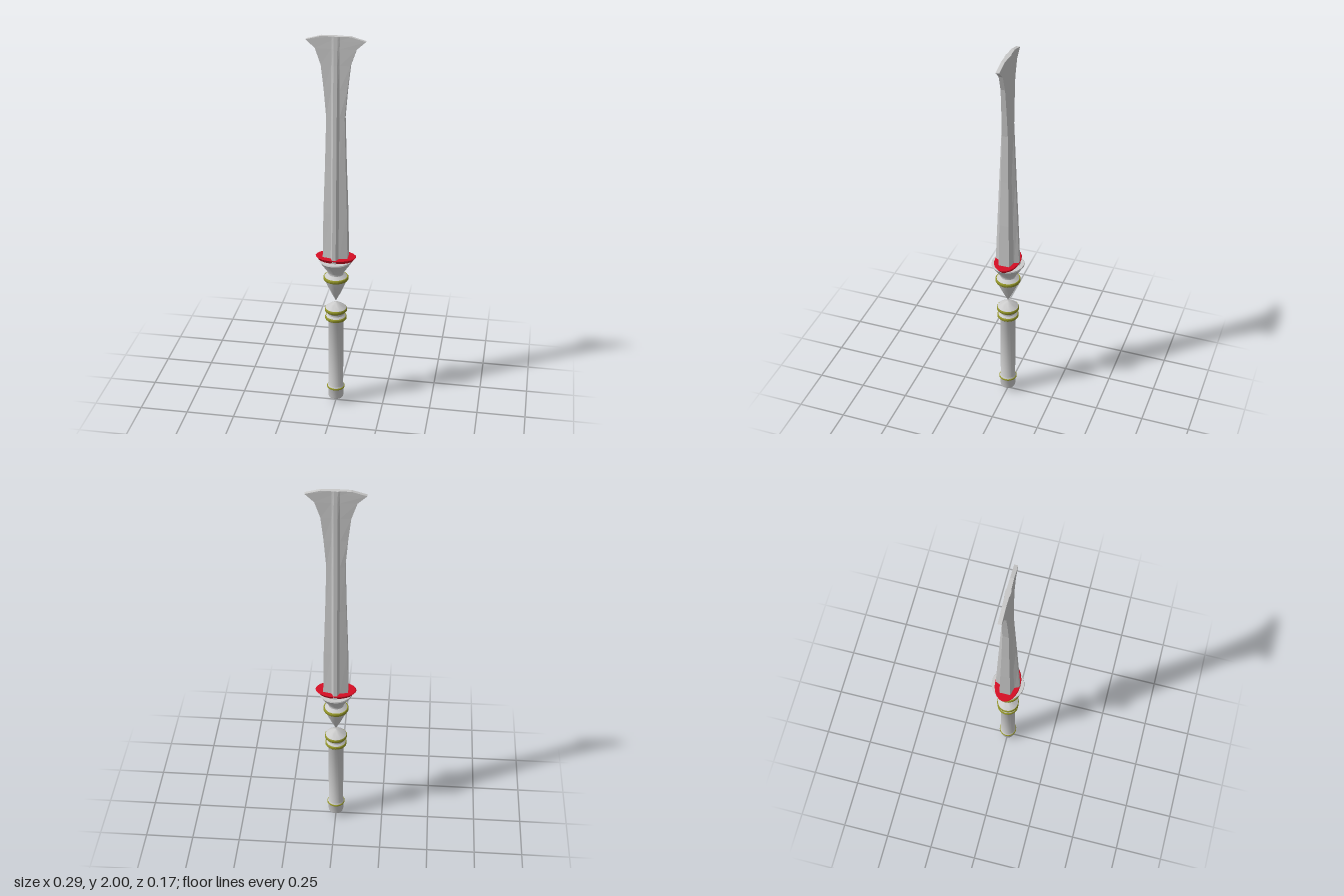
import * as THREE from 'three';
import { toCreasedNormals } from 'three/addons/utils/BufferGeometryUtils.js';

const SIDES = 20;

function material(name, color, flatShading = false) {
  const m = new THREE.MeshStandardMaterial({ color, flatShading });
  m.name = name;
  return m;
}

// Turned part from [radius, height] pairs, listed bottom to top
function turned(name, profile, mat) {
  const pts = profile.map(([r, y]) => new THREE.Vector2(r, y));
  const geo = toCreasedNormals(new THREE.LatheGeometry(pts, SIDES), 0.6);
  const mesh = new THREE.Mesh(geo, mat);
  mesh.name = name;
  return mesh;
}

// Thin bevelled band around the shaft
function band(name, y, radius, height, mat) {
  const h = height / 2, inner = radius - 0.016;
  return turned(name, [
    [inner, y - h], [radius - 0.003, y - h], [radius, y - h * 0.5],
    [radius, y + h * 0.5], [radius - 0.003, y + h], [inner, y + h],
  ], mat);
}

// Blade lofted from ridged cross-sections: [height, half width, ridge depth, edge depth]
function bladeGeometry() {
  const rings = [
    [0.84, 0.063, 0.063, 0.028],
    [1.10, 0.059, 0.052, 0.024],
    [1.35, 0.051, 0.041, 0.019],
    [1.60, 0.045, 0.030, 0.015],
    [1.74, 0.057, 0.024, 0.013],
    [1.86, 0.071, 0.019, 0.011],
    [1.94, 0.099, 0.016, 0.010],
    [1.98, 0.143, 0.014, 0.009],
    [2.00, 0.070, 0.013, 0.009],
  ];
  const pos = [], index = [];
  for (const [y, w, d, e] of rings) {
    const s = e + (d - e) * 0.3;
    const quarter = [[w, e], [0.02, s], [0.009, d]];
    const half = [...quarter, ...quarter.map(([x, z]) => [-x, z]).reverse()];
    for (const [x, z] of half) pos.push(x, y, z);
    for (const [x, z] of half) pos.push(-x, y, -z);
  }
  const n = 12;
  for (let i = 0; i < rings.length - 1; i++) {
    for (let j = 0; j < n; j++) {
      const k = (j + 1) % n;
      const a = i * n + j, b = i * n + k, c = a + n, d = b + n;
      index.push(a, c, b, b, c, d);
    }
  }
  // End caps
  const top = (rings.length - 1) * n, base = pos.length / 3;
  pos.push(0, 0.84, 0, 0, 2, 0);
  for (let j = 0; j < n; j++) {
    const k = (j + 1) % n;
    index.push(base, j, k, base + 1, top + k, top + j);
  }
  const geo = new THREE.BufferGeometry();
  geo.setAttribute('position', new THREE.Float32BufferAttribute(pos, 3));
  geo.setIndex(index);
  const flat = geo.toNonIndexed();
  flat.computeVertexNormals();
  return flat;
}

export function createModel() {
  const model = new THREE.Group();
  model.name = 'sword';
  const steel = material('steel', 0xcbcbcb);
  const bladeSteel = material('bladeSteel', 0xc8c8c8, true);
  const gold = material('oliveGold', 0x929428);
  const red = material('red', 0xd60e24);

  // Blade
  const blade = new THREE.Mesh(bladeGeometry(), bladeSteel);
  blade.name = 'blade';
  model.add(blade);

  // Oval red collar at the blade root
  const collar = turned('collar', [
    [0, 0.833], [0.085, 0.833], [0.104, 0.855], [0.1, 0.858], [0, 0.858],
  ], red);
  collar.scale.z = 0.63;
  model.add(collar);

  // Upper socket: flared cup over a pointed cone
  model.add(turned('socket', [
    [0, 0.6], [0.023, 0.645], [0.043, 0.69], [0.057, 0.722], [0.06, 0.732],
    [0.058, 0.743], [0.04, 0.757], [0.04, 0.766], [0.085, 0.832], [0.083, 0.838], [0, 0.838],
  ], steel));
  model.add(band('socketBand', 0.734, 0.065, 0.018, gold));

  // Handle
  model.add(turned('handle', [
    [0, 0], [0.012, 0.01], [0.037, 0.026], [0.04, 0.036], [0.04, 0.078],
    [0.044, 0.085], [0.044, 0.092], [0.039, 0.1], [0.039, 0.478],
    [0.05, 0.497], [0.052, 0.512], [0.042, 0.523], [0.042, 0.531],
    [0.054, 0.546], [0.054, 0.562], [0.03, 0.58], [0, 0.594],
  ], steel));
  for (const [name, y, r, h] of [
    ['lowerBand', 0.088, 0.047, 0.01],
    ['middleBand', 0.505, 0.056, 0.017],
    ['upperBand', 0.552, 0.058, 0.018],
  ]) model.add(band(name, y, r, h, gold));

  return model;
}
